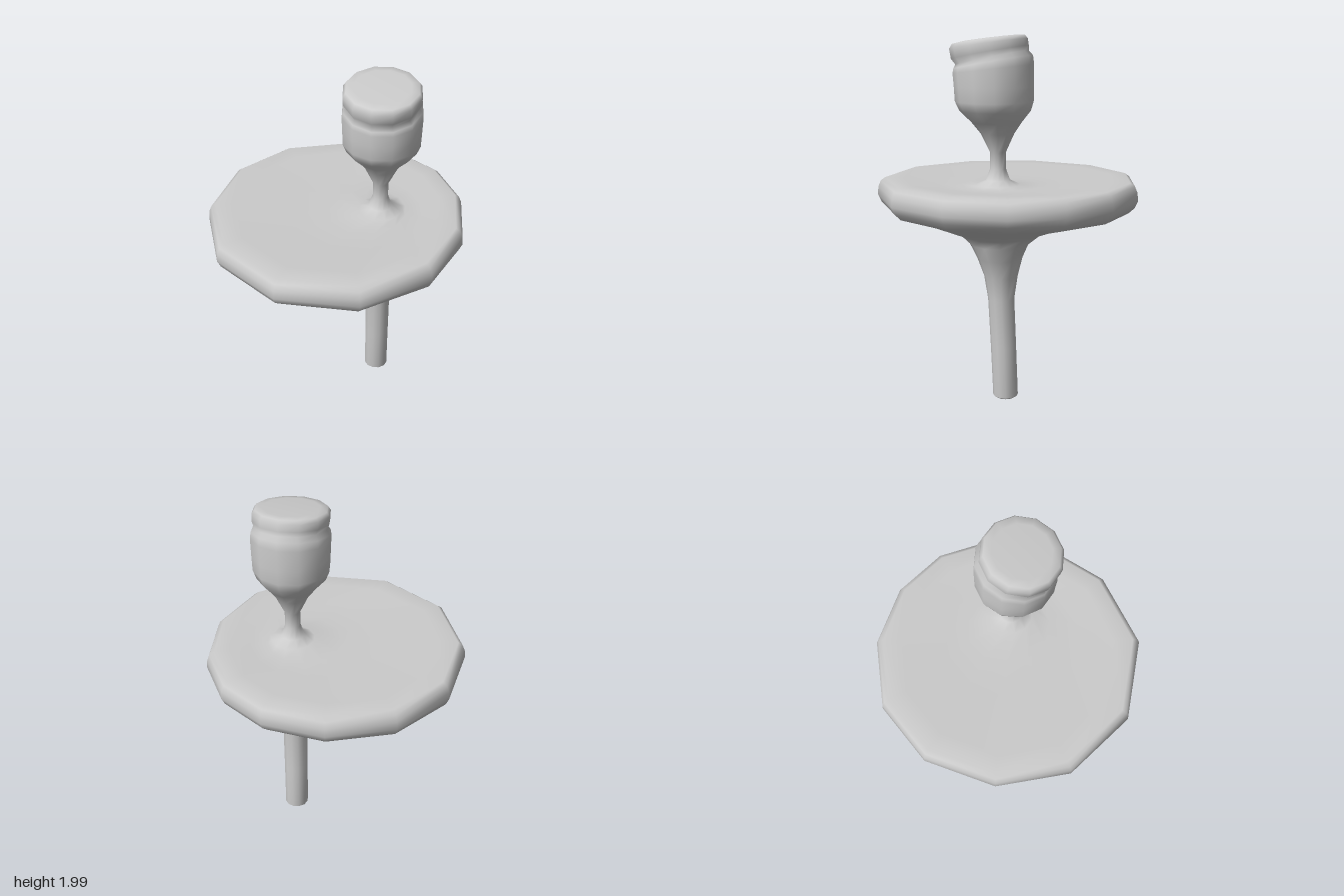
import * as THREE from 'three';

// Twelve-sided, slightly uneven outline of the disc (x, z)
const OUTLINE = [
  [0.71, 0.1], [0.575, 0.45], [0.24, 0.71], [-0.2, 0.72], [-0.56, 0.47], [-0.71, 0.09],
  [-0.65, -0.31], [-0.41, -0.6], [-0.06, -0.72], [0.28, -0.67], [0.53, -0.5], [0.68, -0.24],
];
const SIDES = OUTLINE.length;

// Round ring: height, centre x and z, radius, slope of height along z
function round(y, cx, cz, r, slopeZ = 0) {
  return OUTLINE.map((_, i) => {
    const a = (i + 0.27) * Math.PI * 2 / SIDES;
    const dz = r * Math.sin(a);
    return [cx + r * Math.cos(a), y + slopeZ * dz, cz + dz];
  });
}

// Disc ring: the outline shrunk by t towards the point (cx, cz), tilted along x
function disc(y, t, cx = 0, cz = 0, slopeX = 0) {
  return OUTLINE.map(([x, z]) => {
    const dx = (x - cx) * t;
    return [cx + dx, y + slopeX * dx, cz + (z - cz) * t];
  });
}

// Rings from bottom to top, grouped by part
const PARTS = {
  stem: [
    round(0.004, 0.24, -0.062, 0.055),
    round(0.015, 0.24, -0.062, 0.069),
    round(0.3, 0.24, -0.05, 0.07),
    round(0.57, 0.24, -0.037, 0.072),
    round(0.7, 0.24, -0.036, 0.092),
    round(0.8, 0.24, -0.03, 0.123),
    round(0.88, 0.24, -0.027, 0.16),
  ],
  disc: [
    disc(0.94, 0.35, 0.24, -0.03, -0.12),
    disc(0.997, 0.6, 0.24, -0.03, -0.075),
    disc(1.035, 0.93, 0.01, 0, -0.004),
    disc(1.065, 0.975),
    disc(1.105, 1),
    disc(1.15, 0.995),
    disc(1.185, 0.975),
    disc(1.203, 0.94),
    disc(1.202, 0.8, 0.03),
    disc(1.193, 0.5, 0.24),
    disc(1.192, 0.3, 0.24, -0.02),
  ],
  neck: [
    round(1.205, 0.24, -0.02, 0.12),
    round(1.23, 0.24, -0.02, 0.065),
    round(1.29, 0.24, -0.02, 0.043),
    round(1.38, 0.24, -0.02, 0.043),
    round(1.48, 0.24, -0.018, 0.09),
    round(1.54, 0.24, -0.013, 0.135),
  ],
  head: [
    round(1.6, 0.24, -0.005, 0.19),
    round(1.65, 0.24, 0, 0.209),
    round(1.73, 0.24, 0.002, 0.212),
    round(1.82, 0.24, 0.005, 0.215, -0.12),
    round(1.855, 0.24, 0.006, 0.21, -0.18),
    round(1.878, 0.24, 0.012, 0.193, -0.2),
    round(1.905, 0.24, 0.024, 0.205, -0.18),
    round(1.95, 0.24, 0.032, 0.207, -0.14),
    round(1.972, 0.24, 0.032, 0.192, -0.13),
    round(1.977, 0.24, 0.032, 0.15, -0.13),
  ],
};

export function createModel() {
  const group = new THREE.Group();
  group.name = 'spinningTop';
  const rings = Object.values(PARTS).flat();
  const positions = rings.flat(2);
  const bottom = rings.length * SIDES;
  const top = bottom + 1;
  positions.push(0.24, 0.003, -0.062, 0.24, 1.978, 0.032);

  // Skin between ring r and the next one
  const band = (r) => {
    const out = [];
    for (let i = 0; i < SIDES; i++) {
      const j = (i + 1) % SIDES;
      const a = r * SIDES + i, b = r * SIDES + j;
      out.push(a, a + SIDES, b, b, a + SIDES, b + SIDES);
    }
    return out;
  };
  // End fan closing ring r
  const cap = (r, centre, up) => {
    const out = [];
    for (let i = 0; i < SIDES; i++) {
      const a = r * SIDES + i, b = r * SIDES + (i + 1) % SIDES;
      out.push(...(up ? [a, centre, b] : [a, b, centre]));
    }
    return out;
  };

  // Triangles of each part
  const last = rings.length - 1;
  const indices = {};
  let ring = 0;
  for (const [name, list] of Object.entries(PARTS)) {
    indices[name] = [];
    for (let k = 0; k < list.length; k++, ring++) {
      if (ring < last) indices[name].push(...band(ring));
    }
  }
  indices.stem.push(...cap(0, bottom, false));
  indices.head.push(...cap(last, top, true));

  // Normals run smoothly across the whole skin, shared by all parts
  const skin = new THREE.BufferGeometry();
  skin.setAttribute('position', new THREE.Float32BufferAttribute(positions, 3));
  skin.setIndex(Object.values(indices).flat());
  skin.computeVertexNormals();

  const material = new THREE.MeshStandardMaterial({ color: 0xcccccc });
  for (const [name, index] of Object.entries(indices)) {
    const geometry = new THREE.BufferGeometry();
    geometry.setAttribute('position', skin.getAttribute('position'));
    geometry.setAttribute('normal', skin.getAttribute('normal'));
    geometry.setIndex(index);
    const mesh = new THREE.Mesh(geometry, material);
    mesh.name = name;
    group.add(mesh);
  }
  return group;
}
